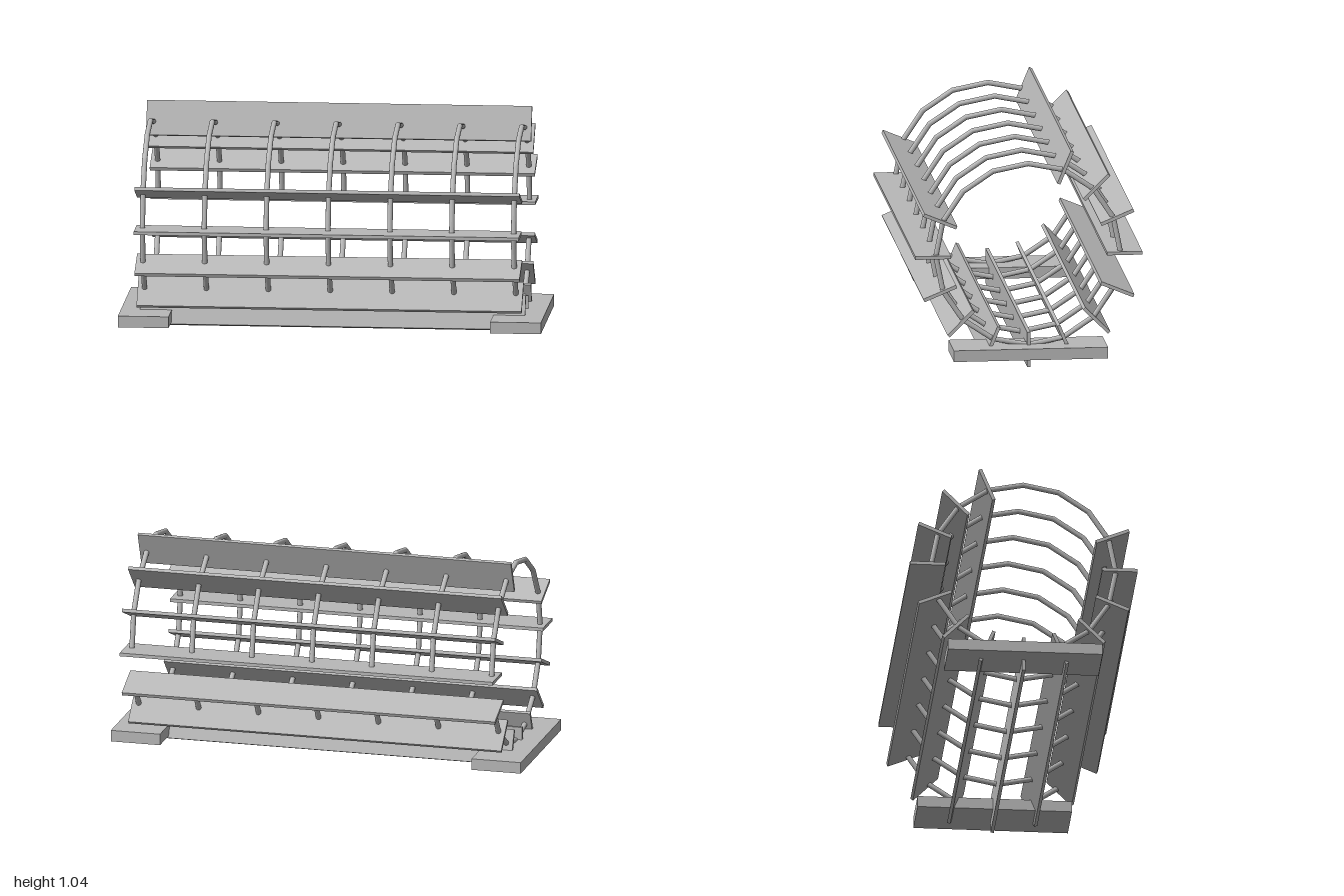
import * as THREE from 'three';
import { mergeGeometries, toCreasedNormals } from 'three/addons/utils/BufferGeometryUtils.js';

const STEP = Math.PI / 8;     // sixteen-sided drum
const AXIS_Y = 0.539;         // height of the drum axis
const RING_R = 0.437, ROD_R = 0.0125;

// Bent rod hoop, open over one of its sixteen sides, with capped ends
function hoopGeometry() {
  const arc = 15 * STEP;
  const tube = toCreasedNormals(new THREE.TorusGeometry(RING_R, ROD_R, 20, 15, arc), 0.35);
  const startCap = new THREE.CircleGeometry(ROD_R, 20).toNonIndexed();
  startCap.rotateX(Math.PI / 2).translate(RING_R, 0, 0);
  const endCap = new THREE.CircleGeometry(ROD_R, 20).toNonIndexed();
  endCap.rotateX(-Math.PI / 2).translate(RING_R, 0, 0).rotateZ(arc);
  return mergeGeometries([tube, startCap, endCap]).rotateZ(-7 * STEP).rotateY(-Math.PI / 2);
}

export function createModel() {
  const model = new THREE.Group();
  model.name = 'slattedDrum';
  const grey = new THREE.MeshStandardMaterial({ color: 0xb8b8b8 });
  grey.name = 'plain grey';

  const add = (name, geometry, x, y, z) => {
    const mesh = new THREE.Mesh(geometry, grey);
    mesh.name = name;
    mesh.position.set(x, y, z);
    model.add(mesh);
    return mesh;
  };

  // Seven hoops along the length
  const hoop = hoopGeometry();
  for (let i = -3; i <= 3; i++) add('hoop', hoop, i * 0.2925, AXIS_Y, 0);

  // Radial slats at the hoop corners; three at the upper front are absent
  const slat = new THREE.BoxGeometry(1.82, 0.016, 0.168);
  const slatR = 0.454;
  for (let i = -7; i <= 8; i++) {
    if (i >= 2 && i <= 4) continue;
    const a = i * STEP;
    add('slat', slat, 0, AXIS_Y + slatR * Math.sin(a), slatR * Math.cos(a)).rotation.x = -a;
  }

  // Flat feet across both ends
  const foot = new THREE.BoxGeometry(0.24, 0.054, 0.73);
  for (const side of [-1, 1]) add(side > 0 ? 'leftFoot' : 'rightFoot', foot, side * 0.88, 0.081, 0);

  return model;
}
